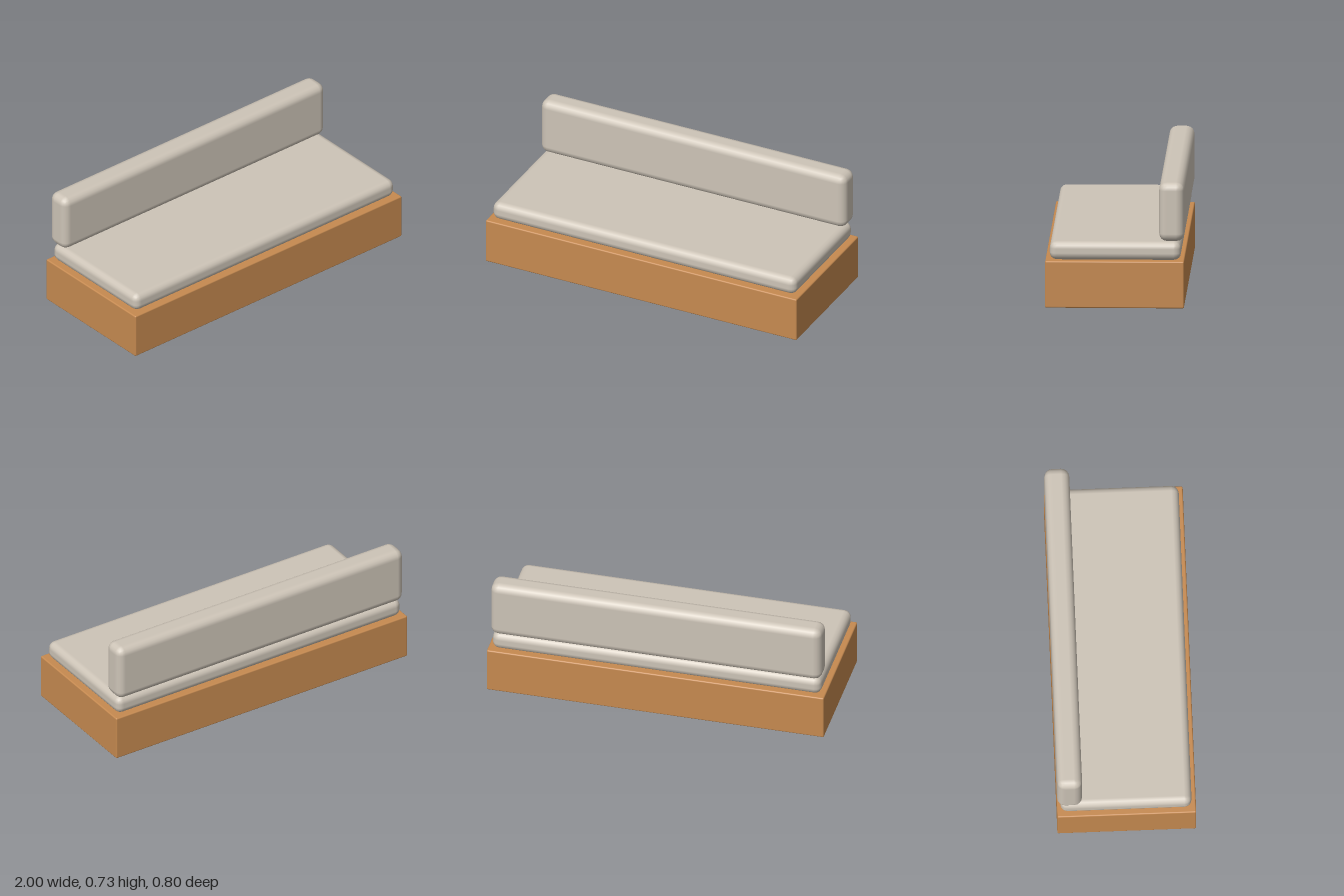
import * as THREE from 'three';
import { RoundedBoxGeometry } from 'three/addons/geometries/RoundedBoxGeometry.js';

export function createModel() {
  const model = new THREE.Group();
  model.name = 'sofa';

  const wood = new THREE.MeshStandardMaterial({ color: 0xc68a50 });
  wood.name = 'warm wood';
  const fabric = new THREE.MeshStandardMaterial({ color: 0xcdc4b7 });
  fabric.name = 'beige fabric';

  // Soft-edged block given by its extents in y and z, centred on x
  function block(name, width, [y0, y1], [z0, z1], radius, segments, material) {
    const geometry = new RoundedBoxGeometry(width, y1 - y0, z1 - z0, segments, radius);
    const mesh = new THREE.Mesh(geometry, material);
    mesh.name = name;
    mesh.position.set(0, (y0 + y1) / 2, (z0 + z1) / 2);
    model.add(mesh);
  }

  // Solid plinth with barely eased edges
  block('base', 2, [0, 0.273], [-0.4, 0.4], 0.008, 2, wood);
  // Seat cushion lying on the plinth
  block('seatCushion', 1.952, [0.273, 0.382], [-0.381, 0.375], 0.042, 2, fabric);
  // Back cushion standing along the rear edge
  block('backCushion', 1.964, [0.383, 0.728], [-0.4, -0.255], 0.047, 2, fabric);

  return model;
}
